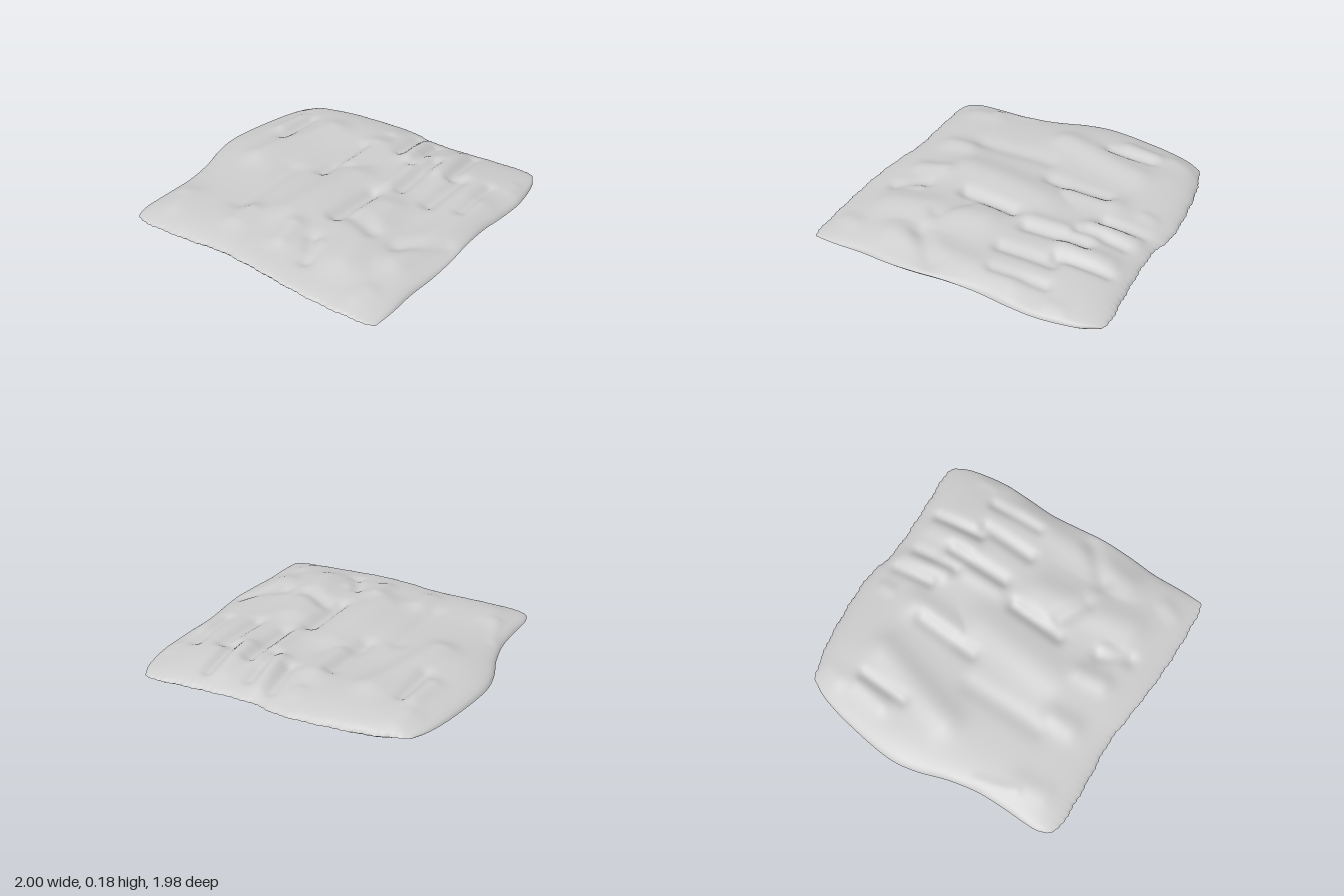
import * as THREE from 'three';

const N = 130;
const curve = pts => new THREE.SplineCurve(pts.map(p => new THREE.Vector2(p[0], p[1])));

// Outline of the cloth as four edges (x, z), rounded at the corners
const back = curve([[-0.83, -0.86], [-0.78, -0.89], [-0.55, -0.95], [-0.2, -0.985], [0, -0.98], [0.1, -0.95], [0.3, -0.94], [0.6, -0.955], [0.86, -0.97], [0.92, -0.92]]);
const front = curve([[-0.87, 0.89], [-0.79, 0.935], [-0.5, 0.935], [-0.2, 0.92], [0, 0.94], [0.3, 0.97], [0.6, 0.98], [0.88, 0.97], [0.945, 0.95]]);
const left = curve([[0.92, -0.92], [0.965, -0.82], [0.995, -0.6], [0.985, -0.4], [0.965, -0.2], [0.97, 0], [0.982, 0.2], [0.975, 0.4], [0.955, 0.6], [0.955, 0.8], [0.945, 0.95]]);
const right = curve([[-0.83, -0.86], [-0.89, -0.75], [-0.95, -0.53], [-1, -0.2], [-0.98, 0], [-0.92, 0.2], [-0.885, 0.4], [-0.885, 0.6], [-0.893, 0.8], [-0.87, 0.89]]);

// Hollows under the folds: x1, z1, x2, z2, radius
const hollows = [
  [0.92, -0.7, 0.92, -0.62, 0.03], [0.87, -0.34, 0.78, 0.48, 0.07], [0.78, 0.78, 0.76, 0.85, 0.04],
  [0.43, 0.05, 0.51, 0.66, 0.08], [0.04, -0.15, -0.03, 0.42, 0.09], [0.3, 0.6, 0.3, 0.7, 0.04],
  [-0.07, -0.58, -0.09, -0.29, 0.06], [-0.08, -0.84, -0.08, -0.79, 0.03], [-0.44, -0.58, -0.62, 0, 0.07],
  [-0.74, -0.83, -0.76, -0.74, 0.05], [-0.84, 0.36, -0.77, 0.6, 0.025],
];
// Extra ridges and creases of the upper side: x1, z1, x2, z2, width, height
const wrinkles = [
  [0.17, -0.85, 0.2, -0.55, 0.06, 0.03], [0.44, -0.8, 0.44, -0.5, 0.07, 0.025], [0.29, -0.6, 0.29, -0.2, 0.06, 0.02],
  [0.08, -0.85, 0.1, -0.6, 0.04, -0.03], [0.25, -0.8, 0.26, -0.5, 0.04, -0.03], [0.37, -0.6, 0.36, -0.2, 0.05, -0.035],
  [0.53, -0.82, 0.55, -0.5, 0.04, -0.035], [0.62, -0.5, 0.6, -0.15, 0.05, -0.035], [0.8, -0.55, 0.8, -0.2, 0.04, -0.03],
  [-0.14, -0.5, -0.17, -0.1, 0.05, -0.03], [-0.35, 0, -0.36, 0.5, 0.07, -0.02], [0.25, -0.05, 0.22, 0.3, 0.05, -0.04],
  [0.32, 0.25, 0.5, 0.34, 0.06, -0.03], [0.7, 0.35, 0.9, 0.15, 0.06, -0.03],
  [-0.25, 0.55, -0.25, 0.68, 0.08, 0.03], [0.08, 0.55, 0.1, 0.7, 0.07, 0.03], [0.25, 0.58, 0.33, 0.76, 0.05, -0.03],
  [-0.72, -0.6, -0.75, -0.4, 0.06, 0.025], [-0.65, -0.6, -0.66, -0.3, 0.04, -0.025], [-0.72, 0.6, -0.7, 0.75, 0.08, 0.02],
];

// Distance from a point to a segment
function distance(x, z, [x1, z1, x2, z2]) {
  const dx = x2 - x1, dz = z2 - z1;
  const t = Math.min(1, Math.max(0, ((x - x1) * dx + (z - z1) * dz) / (dx * dx + dz * dz)));
  return Math.hypot(x - x1 - t * dx, z - z1 - t * dz);
}
const bell = (d, w) => Math.exp(-(d * d) / (w * w));

function topHeight(x, z) {
  let h = 0.132 + 0.008 * Math.sin(5 * x + 2 * z) + 0.006 * Math.sin(7 * z - 3 * x);
  let lift = 0;
  for (const p of hollows) lift = Math.max(lift, bell(distance(x, z, p), p[4] * 1.5) * Math.min(1, p[4] / 0.07));
  h += 0.035 * lift;
  for (const w of wrinkles) h += w[5] * bell(distance(x, z, w), w[4]);
  return Math.min(h, 0.181);
}
const bottomHeight = (x, z) => 0.01 + 0.005 * Math.sin(9 * x + 2 * z) + 0.005 * Math.sin(11 * z - 4 * x);

// Hem height, raised at the middle of the front and left edges
const rimHeight = (x, z) => 0.042 + 0.03 * bell(x - 0.1, 0.4) * Math.max(0, z) + 0.025 * bell(z - 0.1, 0.3) * Math.max(0, x);

// Rise from the hem to the full height
function rise(u, v, reach) {
  const f = t => Math.pow(1 - Math.pow(1 - Math.min(1, t / reach), 2), 0.6);
  return f(2 * Math.min(u, 1 - u)) * f(2 * Math.min(v, 1 - v));
}

// Grid points are closer together towards the hem
const params = Array.from({ length: N + 1 }, (_, i) => 0.6 * i / N + 0.2 * (1 - Math.cos(Math.PI * i / N)));
const sample = c => params.map(t => c.getPointAt(t));

function sheet(name, height, reach, isTop) {
  const [B, F, L, R] = [back, front, left, right].map(sample);
  const pos = [], index = [];
  const blend = (i, j, k) => {
    const u = params[i], v = params[j];
    return (1 - v) * B[i][k] + v * F[i][k] + (1 - u) * R[j][k] + u * L[j][k]
      - (1 - u) * (1 - v) * B[0][k] - u * (1 - v) * B[N][k] - (1 - u) * v * F[0][k] - u * v * F[N][k];
  };
  for (let j = 0; j <= N; j++) for (let i = 0; i <= N; i++) {
    const u = params[i], v = params[j], x = blend(i, j, 'x');
    let z = blend(i, j, 'y');
    // Frayed front and back hems
    z += 0.006 * Math.sin(47 * x) * Math.sin(83 * x + 1) * Math.pow(Math.abs(2 * v - 1), 30);
    const rim = rimHeight(x, z);
    pos.push(x, rim + (height(x, z) - rim) * rise(u, v, reach), z);
  }
  const inHollow = a => {
    const b = a + N + 2;
    const x = (pos[3 * a] + pos[3 * b]) / 2, z = (pos[3 * a + 2] + pos[3 * b + 2]) / 2;
    return hollows.some(h => distance(x, z, h) < h[4]);
  };
  for (let j = 0; j < N; j++) for (let i = 0; i < N; i++) {
    const a = j * (N + 1) + i, b = a + 1, c = a + N + 1, d = c + 1;
    if (isTop) index.push(a, c, b, b, c, d);
    else if (!inHollow(a)) index.push(a, b, c, b, d, c);
  }
  const g = new THREE.BufferGeometry();
  g.setAttribute('position', new THREE.Float32BufferAttribute(pos, 3));
  g.setIndex(index);
  g.computeVertexNormals();
  const mesh = new THREE.Mesh(g, new THREE.MeshStandardMaterial({ color: 0xcccccc, side: THREE.DoubleSide }));
  mesh.name = name;
  return mesh;
}

export function createModel() {
  const group = new THREE.Group();
  group.name = 'rumpledCloth';
  group.add(sheet('clothTop', topHeight, 0.45, true));
  group.add(sheet('clothUnderside', bottomHeight, 0.35, false));
  return group;
}
